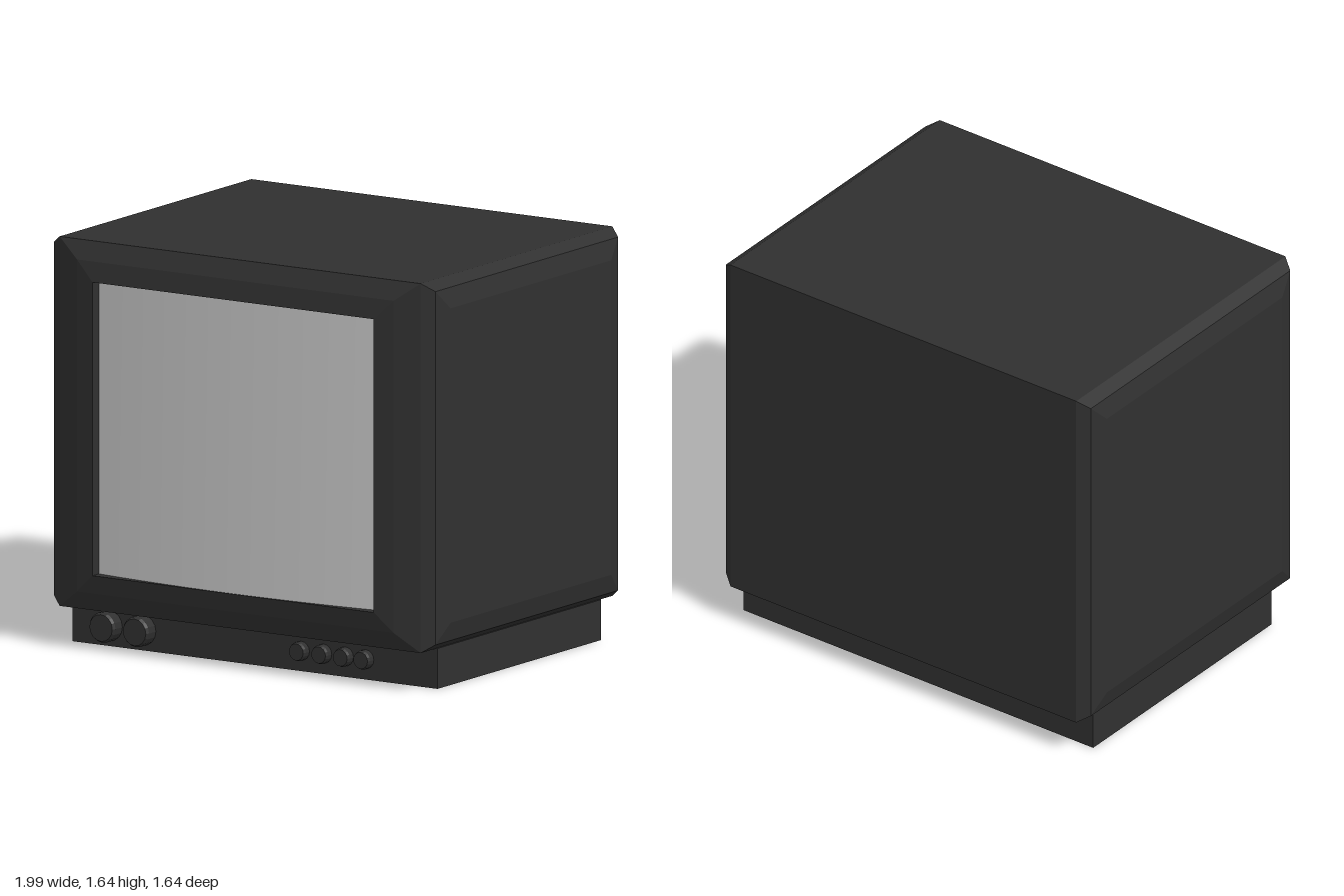
import * as THREE from 'three';

const casing = new THREE.MeshStandardMaterial({ color: 0x303030 });
casing.name = 'charcoal plastic';
const glass = new THREE.MeshStandardMaterial({ color: 0xc8c8c8 });
glass.name = 'pale grey glass';

function part(name, geometry, material, parent) {
  const mesh = new THREE.Mesh(geometry, material);
  mesh.name = name;
  parent.add(mesh);
  return mesh;
}

// Cabinet: a rectangular side profile run across the width, rounded at both sides
function cabinetGeometry() {
  const halfWidth = 0.85, bevel = 0.11;
  const back = -0.694 + bevel, front = 0.67 - bevel;
  const low = 0.16 + bevel, high = 1.64 - bevel;
  const profile = new THREE.Shape([
    new THREE.Vector2(-front, low), new THREE.Vector2(-back, low),
    new THREE.Vector2(-back, high), new THREE.Vector2(-front, high),
  ]);
  const geometry = new THREE.ExtrudeGeometry(profile, {
    depth: halfWidth * 2, bevelThickness: 0.068, bevelSize: bevel, bevelSegments: 2,
  });
  geometry.translate(0, 0, -halfWidth);
  geometry.rotateY(Math.PI / 2);
  return geometry;
}

// Bezel: rectangular rings from the cabinet edge, over the rim and into the opening
function bezelGeometry() {
  const rings = [ // half width, bottom, top, z
    [0.85, 0.16, 1.64, 0.67],
    [0.745, 0.235, 1.565, 0.705],
    [0.662, 0.31, 1.485, 0.72],
    [0.662, 0.31, 1.485, 0.668],
  ].map(([w, b, t, z]) => [[-w, b, z], [w, b, z], [w, t, z], [-w, t, z]]);
  const positions = [];
  for (let r = 0; r < rings.length - 1; r++) {
    for (let i = 0; i < 4; i++) {
      const j = (i + 1) % 4;
      const a = rings[r][i], b = rings[r][j], c = rings[r + 1][j], d = rings[r + 1][i];
      positions.push(...a, ...b, ...c, ...a, ...c, ...d);
    }
  }
  const geometry = new THREE.BufferGeometry();
  geometry.setAttribute('position', new THREE.Float32BufferAttribute(positions, 3));
  geometry.computeVertexNormals();
  return geometry;
}

// Screen: a sheet bulging forward in the middle
function screenGeometry() {
  const halfWidth = 0.662;
  const geometry = new THREE.PlaneGeometry(halfWidth * 2, 1.175, 20, 1);
  const p = geometry.attributes.position;
  for (let i = 0; i < p.count; i++) {
    p.setZ(i, 0.04 * (1 - (p.getX(i) / halfWidth) ** 2));
  }
  geometry.translate(0, 0.8975, 0.675);
  geometry.computeVertexNormals();
  return geometry;
}

// Knob: a short turned shape with a chamfered face, pointing forward
function knobGeometry(radius, length) {
  const profile = [[radius, 0], [radius, length - 0.012], [radius * 0.88, length], [0, length]]
    .map(([x, y]) => new THREE.Vector2(x, y));
  const geometry = new THREE.LatheGeometry(profile, 16).toNonIndexed();
  geometry.computeVertexNormals();
  geometry.rotateX(Math.PI / 2);
  return geometry;
}

export function createModel() {
  const model = new THREE.Group();
  model.name = 'television';
  const set = new THREE.Group();
  set.name = 'televisionSet';
  set.rotation.y = 0.159;
  model.add(set);

  part('cabinet', cabinetGeometry(), casing, set);
  part('bezel', bezelGeometry(), casing, set);
  part('screen', screenGeometry(), glass, set);
  part('base', new THREE.BoxGeometry(1.72, 0.162, 1.162), casing, set)
    .position.set(0, 0.081, -0.016);

  // Controls along the front of the base
  const baseFront = 0.563;
  const largeKnob = knobGeometry(0.061, 0.063);
  [-0.685, -0.527].forEach((x) =>
    part('largeKnob', largeKnob, casing, set).position.set(x, 0.082, baseFront));
  const smallKnob = knobGeometry(0.038, 0.04);
  [0.219, 0.324, 0.426, 0.522].forEach((x) =>
    part('smallKnob', smallKnob, casing, set).position.set(x, 0.082, baseFront));

  return model;
}
